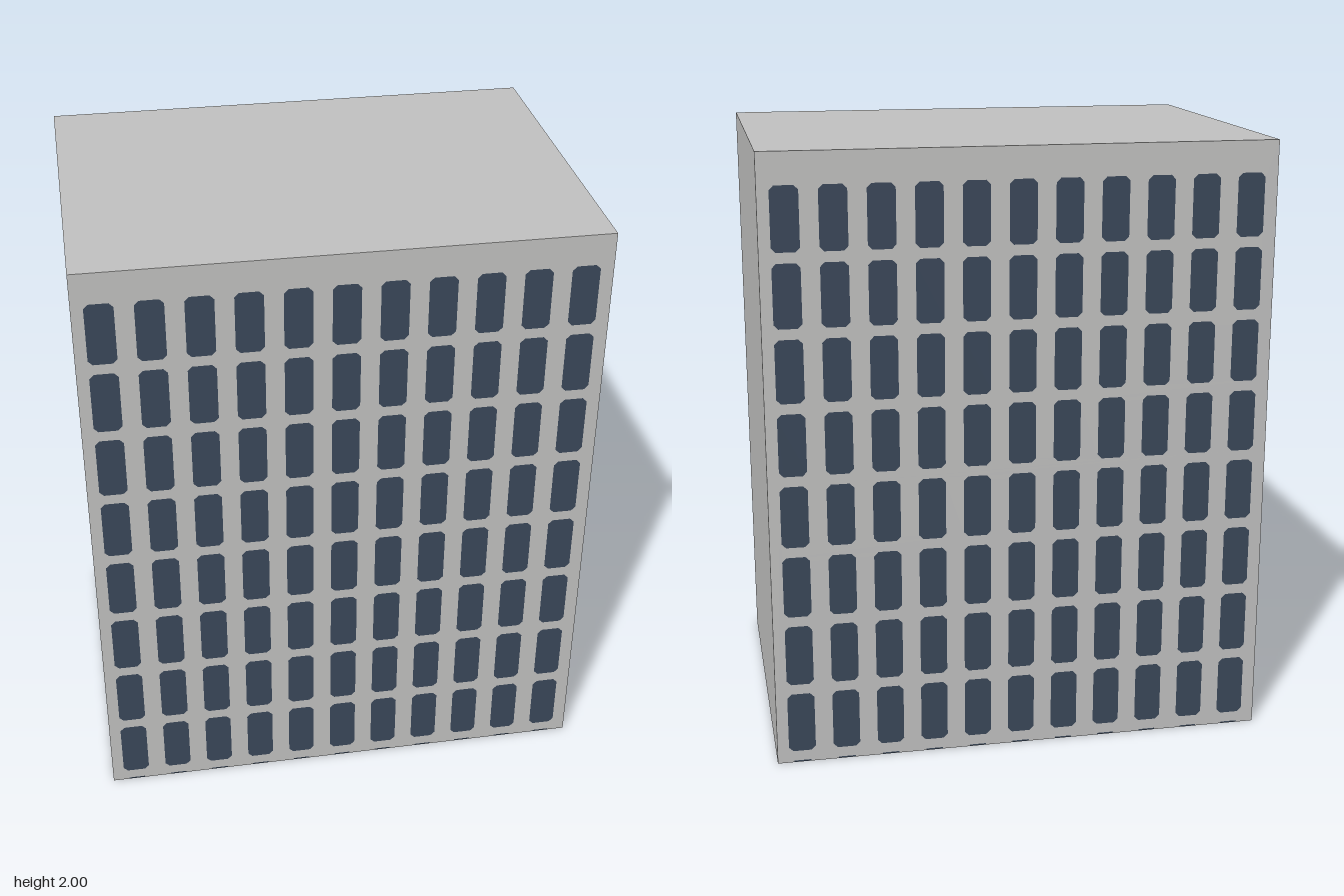
import * as THREE from 'three';

const W = 1.634, H = 2, D = 1.188;
const COLS = 11, ROWS = 8, STEP_X = 0.1466, STEP_Y = 0.2365;

// Window outline: an upright rectangle with clipped corners
function windowPoints(cx, bottom, w, h, cutX, cutY) {
  const l = cx - w / 2, r = cx + w / 2, t = bottom + h;
  return [
    [l + cutX, bottom], [r - cutX, bottom], [r, bottom + cutY], [r, t - cutY],
    [r - cutX, t], [l + cutX, t], [l, t - cutY], [l, bottom + cutY],
  ].map(([x, y]) => new THREE.Vector2(x, y));
}

function windowOutlines() {
  const outlines = [];
  for (let c = 0; c < COLS; c++) {
    const x = (c - (COLS - 1) / 2) * STEP_X - 0.002;
    for (let r = 0; r < ROWS; r++) {
      outlines.push(windowPoints(x, 0.04 + r * STEP_Y, 0.088, 0.203, 0.014, 0.014));
    }
    // sliver of the next row, cut off by the ground
    outlines.push(windowPoints(x, 0.0005, 0.056, 0.005, 0.001, 0.001));
  }
  return outlines;
}

export function createModel() {
  const group = new THREE.Group();
  const concrete = new THREE.MeshStandardMaterial({ color: 0xc0c0bf, side: THREE.DoubleSide });
  concrete.name = 'concrete grey';
  const glass = new THREE.MeshStandardMaterial({ color: 0x3a4759, side: THREE.DoubleSide });
  glass.name = 'window blue';

  const add = (parent, name, geometry, material) => {
    const mesh = new THREE.Mesh(geometry, material);
    mesh.name = name;
    parent.add(mesh);
    return mesh;
  };

  // Front and back: a wall pierced by windows, with panes filling the holes
  const outlines = windowOutlines();
  const wall = new THREE.Shape([
    new THREE.Vector2(-W / 2, 0), new THREE.Vector2(W / 2, 0),
    new THREE.Vector2(W / 2, H), new THREE.Vector2(-W / 2, H),
  ]);
  wall.holes = outlines.map((points) => new THREE.Path(points));
  const wallGeometry = new THREE.ShapeGeometry(wall);
  const paneGeometry = new THREE.ShapeGeometry(outlines.map((points) => new THREE.Shape(points)));
  for (const [name, angle] of [['front', 0], ['back', Math.PI]]) {
    const facade = new THREE.Group();
    facade.name = name + 'Facade';
    add(facade, name + 'Wall', wallGeometry, concrete);
    add(facade, name + 'Windows', paneGeometry, glass);
    facade.rotation.y = angle;
    facade.position.z = Math.cos(angle) * D / 2;
    group.add(facade);
  }

  // Plain side walls
  for (const [name, side] of [['leftWall', 1], ['rightWall', -1]]) {
    const mesh = add(group, name, new THREE.PlaneGeometry(D, H), concrete);
    mesh.rotation.y = side * Math.PI / 2;
    mesh.position.set(side * W / 2, H / 2, 0);
  }

  // Flat roof; the underside stays open
  const roof = add(group, 'roof', new THREE.PlaneGeometry(W, D), concrete);
  roof.rotation.x = -Math.PI / 2;
  roof.position.y = H;
  return group;
}
